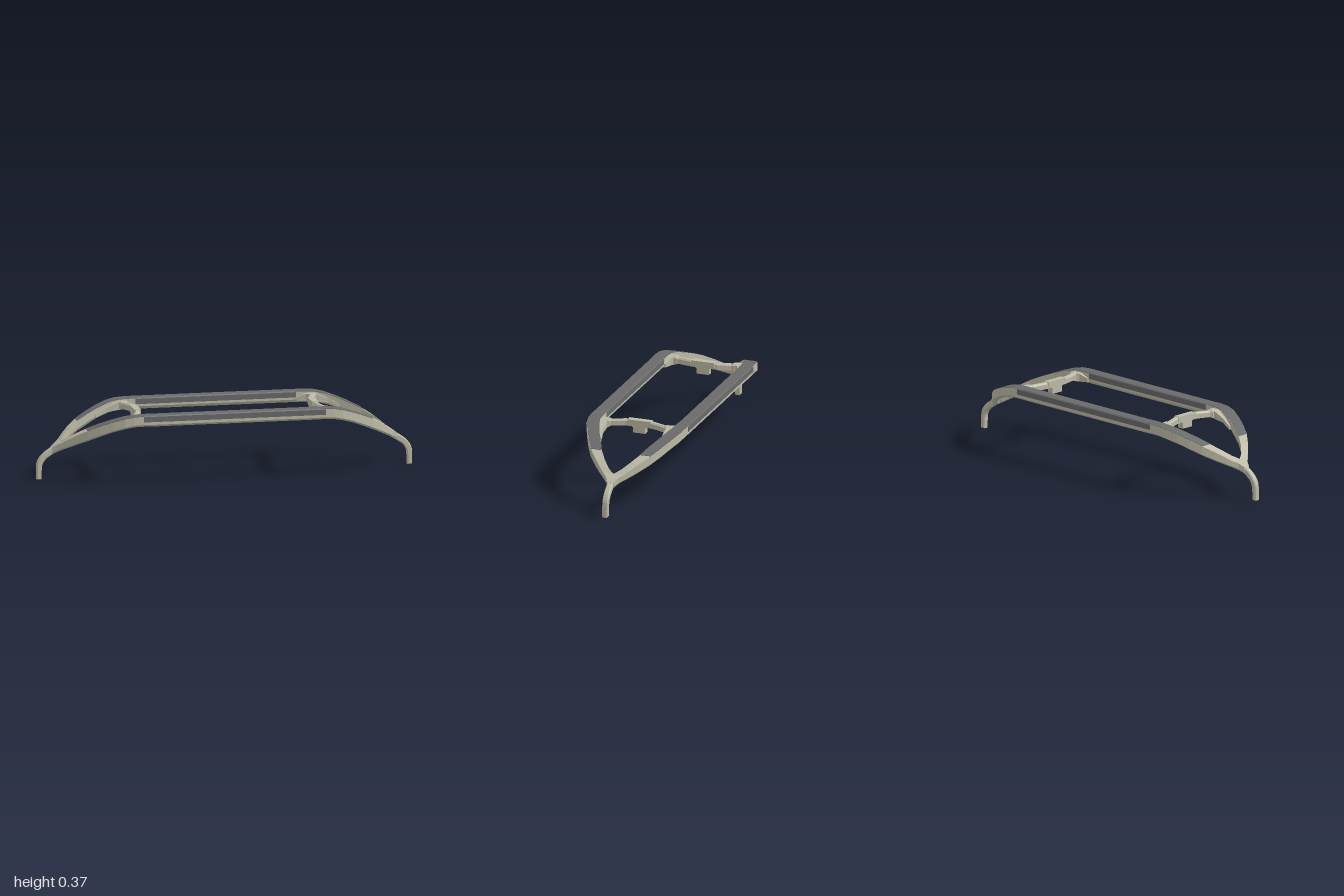
import * as THREE from 'three';

// Arm and rail stations, one quarter: x, inner z, outer z, bottom y, top y
const RAIL = [
  [0, 0.205, 0.27, 0.307, 0.364], [0.42, 0.205, 0.27, 0.307, 0.364], [0.48, 0.204, 0.271, 0.308, 0.364],
  [0.53, 0.2, 0.268, 0.306, 0.361], [0.58, 0.186, 0.258, 0.295, 0.351], [0.64, 0.163, 0.233, 0.276, 0.331],
  [0.7, 0.134, 0.203, 0.25, 0.307], [0.76, 0.106, 0.167, 0.222, 0.279], [0.81, 0.071, 0.124, 0.196, 0.249],
  [0.85, 0.034, 0.083, 0.173, 0.219], [0.872, 0, 0.058, 0.159, 0.2], [0.895, 0, 0.032, 0.145, 0.186],
  [0.92, 0, 0.018, 0.132, 0.168],
];

// Half strut stations: z, centre x, bottom y, top y, half width
const STRUT = [
  [0.052, 0.475, 0.327, 0.361, 0.014], [0.078, 0.477, 0.327, 0.36, 0.014], [0.15, 0.499, 0.324, 0.357, 0.014],
  [0.158, 0.503, 0.319, 0.36, 0.02], [0.19, 0.508, 0.318, 0.358, 0.02],
];

export function createModel() {
  const model = new THREE.Group();
  const tan = new THREE.MeshStandardMaterial({ color: 0xbdbba7 });
  tan.name = 'pale metal';
  const dark = new THREE.MeshStandardMaterial({ color: 0x6a6a6a });
  dark.name = 'dark grip';

  function add(name, geometry, material) {
    const g = geometry.index ? geometry.toNonIndexed() : geometry;
    g.computeVertexNormals();
    const mesh = new THREE.Mesh(g, material);
    mesh.name = name;
    model.add(mesh);
  }

  // Faceted skin over equal rings of [x, y, z], mirrored by sx and sz
  function loft(rings, sx, sz, capStart = true) {
    const n = rings[0].length, pos = rings.flat().flatMap(([x, y, z]) => [x * sx, y, z * sz]), idx = [];
    const tri = (a, b, c) => (sx * sz > 0 ? idx.push(a, c, b) : idx.push(a, b, c));
    for (let r = 0; r < rings.length - 1; r++) {
      for (let i = 0; i < n; i++) {
        const a = r * n + i, b = r * n + (i + 1) % n;
        tri(a, a + n, b);
        tri(b, a + n, b + n);
      }
    }
    const last = (rings.length - 1) * n;
    for (let i = 1; i < n - 1; i++) {
      if (capStart) tri(0, i, i + 1);
      tri(last, last + i + 1, last + i);
    }
    const g = new THREE.BufferGeometry();
    g.setAttribute('position', new THREE.Float32BufferAttribute(pos, 3));
    g.setIndex(idx);
    return g;
  }

  // Rings run inner top, outer top, then round the underside
  const body = ([x, zi, zo, yb, yt]) => {
    const w = zo - zi;
    return [[x, yt, zi], [x, yt, zo], [x, yb + 0.012, zo], [x, yb, zo - w * 0.25],
      [x, yb, zi + w * 0.2], [x, yb + 0.015, zi]];
  };
  const slab = (x, zi, zo, yb, yt) => [[x, yt, zi], [x, yt, zo], [x, yb, zo], [x, yb, zi]];
  const gripRing = (xi, xo) => [[xi, 0.362, 0.203], [xi, 0.367, 0.208], [xo, 0.367, 0.267], [xo, 0.362, 0.272],
    [xo, 0.334, 0.272], [xi, 0.334, 0.203]];
  const strutRing = ([z, x, yb, yt, h]) => [[x + h, yb, z], [x + h, yt - 0.008, z], [x + h - 0.007, yt, z],
    [x - h + 0.007, yt, z], [x - h, yt - 0.008, z], [x - h, yb, z]];

  for (const sx of [1, -1]) {
    for (const sz of [1, -1]) {
      add('railAndArm', loft(RAIL.map(body), sx, sz, false), tan);

      // Grip wraps the straight rail with a mitred end, thin pad continues on the arm
      add('railGrip', loft([gripRing(0, 0), gripRing(0.425, 0.485)], sx, sz, false), dark);
      const pad = RAIL.slice(1, 8).map(([x, zi, zo, , yt]) => slab(x, zi + 0.001, zo - 0.002, yt - 0.003, yt + 0.0025));
      add('armPad', loft(pad, sx, sz), dark);

      // Gusset that joins the cross strut to the rail
      add('strutGusset', loft([
        slab(0.43, 0.198, 0.215, 0.315, 0.335), slab(0.475, 0.184, 0.215, 0.313, 0.355),
        slab(0.49, 0.168, 0.215, 0.316, 0.357), slab(0.525, 0.164, 0.215, 0.316, 0.357),
        slab(0.59, 0.163, 0.2, 0.306, 0.33), slab(0.65, 0.15, 0.18, 0.282, 0.3),
      ], sx, sz), tan);

      // Bent half strut, swept along z with chamfered upper edges
      add('crossStrut', loft(STRUT.map(strutRing), sx, sz), tan);
    }

    // T-shaped block in the middle of each strut
    const t = new THREE.Shape([[-0.034, 0.294], [0.034, 0.294], [0.034, 0.323], [0.045, 0.329], [0.064, 0.336],
      [0.064, 0.363], [-0.064, 0.363], [-0.064, 0.336], [-0.045, 0.329], [-0.034, 0.323]]
      .map(([z, y]) => new THREE.Vector2(z, y)));
    const block = new THREE.ExtrudeGeometry(t, { depth: 0.034, bevelEnabled: false });
    block.translate(0, 0, -0.017).rotateY(Math.PI / 2).translate(sx * 0.474, 0, 0);
    add('strutBlock', block, tan);

    // Curved foot stem below the fork
    const s = new THREE.Shape();
    s.moveTo(0.888, 0.183);
    s.lineTo(0.945, 0.145);
    s.quadraticCurveTo(0.995, 0.11, 0.995, 0.065);
    s.lineTo(0.995, 0.005);
    s.lineTo(0.979, 0.005);
    s.lineTo(0.978, 0.06);
    s.quadraticCurveTo(0.975, 0.095, 0.945, 0.118);
    s.lineTo(0.888, 0.155);
    const stem = new THREE.ExtrudeGeometry(s, {
      depth: 0.022, bevelThickness: 0.005, bevelSize: 0.005, bevelSegments: 1, curveSegments: 6,
    });
    stem.translate(0, 0, -0.011);
    if (sx < 0) stem.rotateY(Math.PI);
    add('footStem', stem, tan);
  }
  return model;
}
